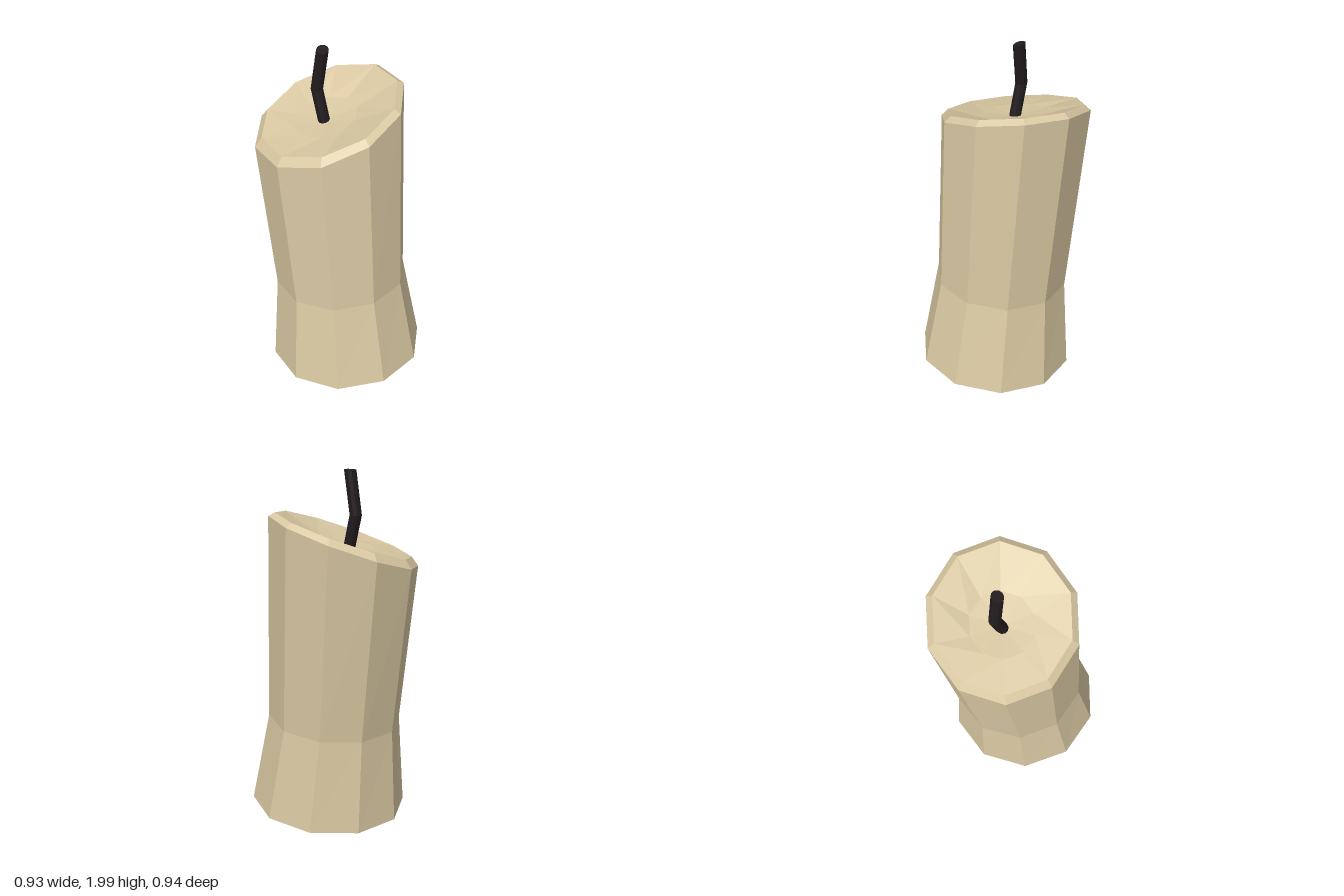
import * as THREE from 'three';

// Skin a stack of tilted rings. Ring: centre (x, z), radius r, first corner angle (degrees),
// and a cutting plane y = c + a*x + b*z. A ring with r = 0 closes the end.
function loft(rings, sides) {
  const point = ({ x, z, r, turn = 0, c, a = 0, b = 0 }, j) => {
    const t = THREE.MathUtils.degToRad(turn) + ((j % sides) / sides) * Math.PI * 2;
    const px = x + r * Math.cos(t), pz = z + r * Math.sin(t);
    return [px, c + a * px + b * pz, pz];
  };
  const pos = [];
  for (let i = 0; i < rings.length - 1; i++) {
    const lo = rings[i], hi = rings[i + 1];
    for (let j = 0; j < sides; j++) {
      if (lo.r > 0) pos.push(...point(lo, j), ...point(hi, j), ...point(lo, j + 1));
      if (hi.r > 0) pos.push(...point(lo, j + 1), ...point(hi, j), ...point(hi, j + 1));
    }
  }
  const geometry = new THREE.BufferGeometry();
  geometry.setAttribute('position', new THREE.Float32BufferAttribute(pos, 3));
  geometry.computeVertexNormals();
  return geometry;
}

function part(name, color, rings, sides) {
  const mesh = new THREE.Mesh(
    loft(rings, sides),
    new THREE.MeshStandardMaterial({ color, flatShading: true })
  );
  mesh.name = name;
  return mesh;
}

export function createModel() {
  const group = new THREE.Group();
  group.name = 'candle';

  // Leaning wax body: flared foot, waist, slanted bevelled rim and a shallow dish
  const foot = { x: 0.02, z: 0.035, turn: 24, c: 0.04, a: 0.06, b: 0.06 };
  const rim = { x: -0.08, z: -0.065, turn: 22.5 };
  const dish = { x: -0.1, z: -0.065, turn: 22.5, c: 1.603, a: 0.2, b: -0.08 };
  group.add(part('waxBody', 0xd9c8a2, [
    { ...foot, r: 0 },
    { ...foot, r: 0.439 },
    { x: -0.018, z: 0.003, r: 0.373, turn: 23, c: 0.57, a: 0.06, b: 0.06 },
    { ...rim, r: 0.408, c: 1.62, a: 0.34, b: -0.12 },
    { ...rim, r: 0.371, c: 1.655, a: 0.33, b: -0.12 },
    { ...dish, r: 0.175 },
    { ...dish, r: 0, c: 1.585 },
  ], 10));

  // Bent wick with a slanted tip
  const tip = { x: -0.113, z: -0.08, c: 1.966, b: -0.3 };
  group.add(part('wick', 0x211c1e, [
    { x: -0.1, z: -0.056, r: 0.033, c: 1.53 },
    { x: -0.145, z: -0.09, r: 0.033, c: 1.75 },
    { ...tip, r: 0.033 },
    { ...tip, r: 0 },
  ], 10));

  return group;
}
